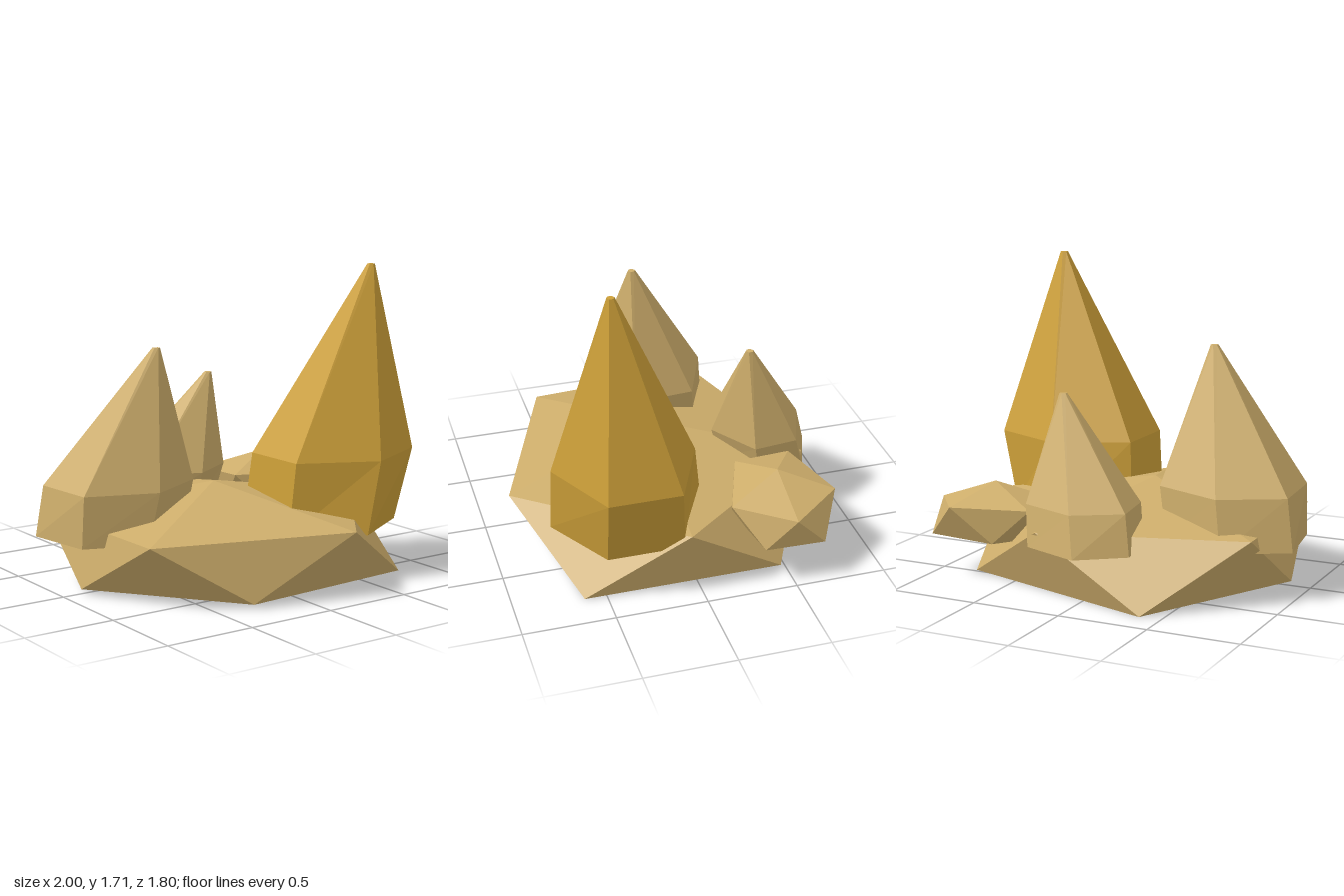
import * as THREE from 'three';

const tan = new THREE.MeshStandardMaterial({ color: 0xcdad6b, flatShading: true });
tan.name = 'sandstone';
const gold = new THREE.MeshStandardMaterial({ color: 0xcc9f38, flatShading: true });
gold.name = 'gold crystal';

// Faceted mesh from a list of triangles, each made of three [x, y, z] corners
function facetMesh(name, triangles, material) {
  const geometry = new THREE.BufferGeometry();
  geometry.setAttribute('position', new THREE.Float32BufferAttribute(triangles.flat(2), 3));
  geometry.computeVertexNormals();
  const mesh = new THREE.Mesh(geometry, material);
  mesh.name = name;
  return mesh;
}

// Turn [x, z] points into a ring at height y (a point may carry its own height)
const ring = (points, y) => points.map(([x, z, ownY]) => [x, ownY ?? y, z]);

// Boulder: squashed icosahedron, upper and lower rings staggered
function boulder(name, top, upper, lower, bottom, material) {
  const t = [];
  const n = upper.length;
  for (let i = 0; i < n; i++) {
    const j = (i + 1) % n;
    t.push([top, upper[i], upper[j]]);
    t.push([lower[i], upper[j], upper[i]]);
    t.push([lower[i], lower[j], upper[j]]);
    t.push([bottom, lower[j], lower[i]]);
  }
  return facetMesh(name, t, material);
}

// Crystal: leaning six-sided prism with a long point and a tiny flat tip
function crystal(name, lower, upper, tip, material) {
  const n = upper.length;
  const end = upper.map((_, i) => {
    const a = (i / n) * Math.PI * 2;
    return [tip[0] + 0.021 * Math.sin(a), tip[1], tip[2] + 0.021 * Math.cos(a)];
  });
  const centre = [0, 1, 2].map((k) => lower.reduce((s, p) => s + p[k], 0) / n);
  const t = [];
  for (let i = 0; i < n; i++) {
    const j = (i + 1) % n;
    for (const [a, b] of [[lower, upper], [upper, end]]) {
      t.push([a[i], a[j], b[j]], [a[i], b[j], b[i]]);
    }
    t.push([tip, end[i], end[j]], [centre, lower[j], lower[i]]);
  }
  return facetMesh(name, t, material);
}

export function createModel() {
  const group = new THREE.Group();
  group.name = 'crystalRock';

  // Wide flat-bottomed base
  group.add(boulder('baseRock', [-0.06, 0.52, 0.04],
    ring([[-0.79, 0.52, 0.34], [0.25, 0.9], [0.9, 0.06], [0.25, -0.79], [-0.84, -0.47]], 0.355),
    ring([[-0.31, 0.76, 0.025], [0.8, 0.62], [0.8, -0.48], [-0.38, -0.84], [-0.89, 0, 0.025]], 0),
    [-0.05, 0, 0], tan));

  // Small boulder on the back left corner
  group.add(boulder('sideBoulder', [0.66, 0.53, -0.49],
    ring([[0.8, -0.19], [1, -0.49, 0.41], [0.78, -0.78], [0.35, -0.67], [0.37, -0.35]], 0.43),
    ring([[0.96, -0.33], [0.97, -0.66], [0.56, -0.71], [0.4, -0.49], [0.56, -0.27]], 0.235),
    [0.68, 0.235, -0.49], tan));

  // Tall golden crystal
  group.add(crystal('tallCrystal',
    ring([[0.48, 0.725], [0.86, 0.505], [0.86, 0.085], [0.48, -0.12], [0.11, 0.085], [0.11, 0.505]], 0.27),
    ring([[0.56, 0.73], [0.97, 0.525], [0.97, 0.13], [0.55, -0.06], [0.14, 0.13], [0.14, 0.525]], 0.67),
    [0.72, 1.71, 0.435], gold));

  // Middle crystal on the right
  group.add(crystal('middleCrystal',
    ring([[-0.6, 0.22], [-0.26, 0.04], [-0.29, -0.32], [-0.67, -0.48], [-1, -0.29], [-0.94, 0.1]], 0.27),
    ring([[-0.55, 0.25], [-0.21, 0.06], [-0.24, -0.29], [-0.63, -0.45], [-0.96, -0.27], [-0.93, 0.11]], 0.55),
    [-0.42, 1.285, 0.02], tan));

  // Short crystal at the back
  group.add(crystal('backCrystal',
    ring([[0.06, -0.36], [0.33, -0.52], [0.3, -0.78], [-0.03, -0.905], [-0.27, -0.73], [-0.23, -0.47]], 0.27),
    ring([[0.1, -0.3], [0.37, -0.47], [0.34, -0.72], [0.02, -0.84], [-0.23, -0.69], [-0.19, -0.42]], 0.485),
    [0.25, 1.045, -0.46], tan));

  return group;
}
